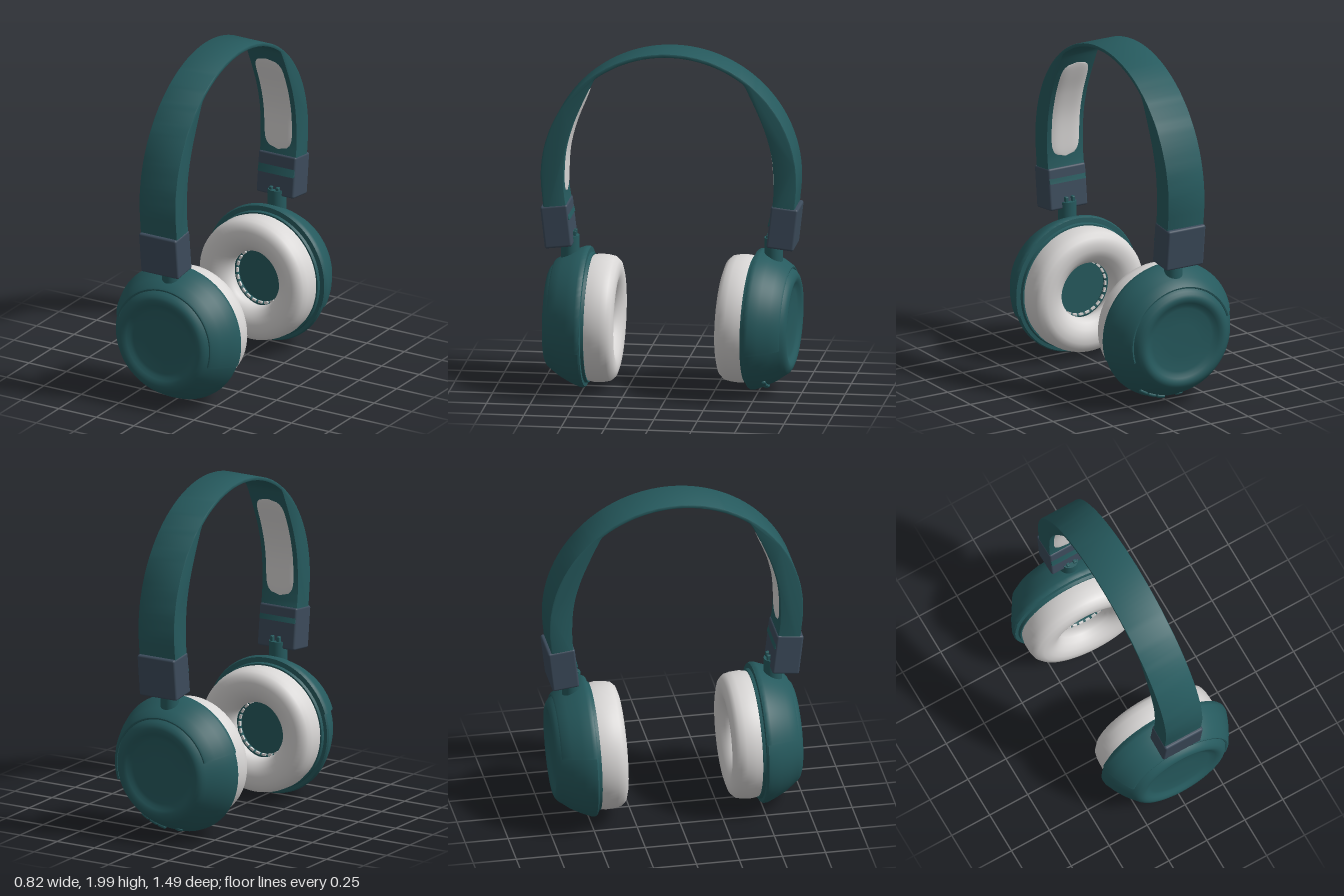
import * as THREE from 'three';
import { toCreasedNormals } from 'three/addons/utils/BufferGeometryUtils.js';
import { RoundedBoxGeometry } from 'three/addons/geometries/RoundedBoxGeometry.js';

const teal = new THREE.MeshStandardMaterial({ color: 0x265a5e });
teal.name = 'teal';
const slate = new THREE.MeshStandardMaterial({ color: 0x3c4b5b });
slate.name = 'slate';
const white = new THREE.MeshStandardMaterial({ color: 0xd9d7d6, side: THREE.DoubleSide });
white.name = 'softWhite';

function part(name, geometry, material, parent, x = 0, y = 0, z = 0) {
  const mesh = new THREE.Mesh(geometry, material);
  mesh.name = name;
  mesh.position.set(x, y, z);
  parent.add(mesh);
  return mesh;
}

// Lathe whose axis is z; points are [radius, z]
function turned(points, start = 0, length = Math.PI * 2, crease = 0.6) {
  const g = new THREE.LatheGeometry(points.map(p => new THREE.Vector2(...p)), 72, start, length);
  return toCreasedNormals(g.rotateX(Math.PI / 2), crease);
}

// Inner edge of the thick lower part of the band, as (z, y)
const inner = new THREE.SplineCurve([
  [0.57, 1.0], [0.598, 1.12], [0.605, 1.25], [0.595, 1.4], [0.56, 1.54], [0.508, 1.67], [0.445, 1.805],
].map(p => new THREE.Vector2(...p)));

function bandGeometry() {
  const pts = [];
  const low = inner.getPoints(28);
  const arc = (r, a0, a1, n) => {
    for (let i = 0; i <= n; i++) {
      const a = a0 + (a1 - a0) * i / n;
      pts.push(new THREE.Vector2(r * Math.cos(a), 1.257 + r * Math.sin(a)));
    }
  };
  pts.push(new THREE.Vector2(0.715, 1.0));
  arc(0.738, -0.1, Math.PI + 0.1, 72);
  pts.push(new THREE.Vector2(-0.715, 1.0));
  low.forEach(p => pts.push(new THREE.Vector2(-p.x, p.y)));
  arc(0.716, Math.PI - 0.93, 0.93, 40);
  low.reverse().forEach(p => pts.push(p.clone()));
  const g = new THREE.ExtrudeGeometry(new THREE.Shape(pts), {
    depth: 0.23, bevelEnabled: true, bevelSize: 0.006, bevelThickness: 0.006, bevelOffset: -0.006, bevelSegments: 2,
  });
  g.translate(0, 0, -0.115).rotateY(-Math.PI / 2);
  return toCreasedNormals(g, 0.6);
}

// Softly bulged pad with rounded ends, following the inner edge
function padGeometry(side) {
  const g = new THREE.PlaneGeometry(1, 1, 14, 40);
  const pos = g.attributes.position;
  for (let i = 0; i < pos.count; i++) {
    const u = 2 * pos.getX(i), v = 2 * pos.getY(i);
    const p = inner.getPointAt(0.18 + 0.75 * (v + 1) / 2);
    const halfWidth = 0.092 * Math.sqrt(Math.max(0, 1 - Math.pow(Math.abs(v), 10)));
    const lift = 0.002 + 0.01 * (1 - u ** 4) * (1 - v ** 8);
    pos.setXYZ(i, u * halfWidth, p.y, side * (p.x - lift));
  }
  if (side > 0) g.index.array.reverse();
  g.computeVertexNormals();
  return g;
}

// Ear cup facing +z, with its rim at z = 0
function earCup(name, shellStart) {
  const cup = new THREE.Group();
  cup.name = name;
  part('cupBody', turned([
    [0.16, -0.025], [0.37, -0.025], [0.375, -0.008], [0.395, -0.006], [0.402, 0.004], [0.4, 0.025],
    [0.377, 0.08], [0.345, 0.14], [0.308, 0.19], [0.296, 0.207], [0.28, 0.22], [0.262, 0.227],
    [0.245, 0.226], [0.228, 0.218], [0.21, 0.208], [0.19, 0.203], [0.1, 0.201], [0.0001, 0.2],
  ]), teal, cup);
  // Raised shell around the upper half
  part('upperShell', turned([
    [0.385, -0.008], [0.403, -0.006], [0.409, 0.004], [0.409, 0.025], [0.388, 0.08],
    [0.358, 0.14], [0.328, 0.188], [0.318, 0.196], [0.309, 0.194], [0.305, 0.185],
  ], shellStart, Math.PI), teal, cup);

  // Cushion ring, with a floor and teeth inside its opening
  part('cushion', turned([
    [0.195, -0.03], [0.178, -0.06], [0.165, -0.09], [0.167, -0.115], [0.185, -0.145], [0.22, -0.172],
    [0.26, -0.185], [0.3, -0.185], [0.335, -0.174], [0.357, -0.15], [0.365, -0.115], [0.368, -0.06], [0.36, -0.02],
  ], 0, Math.PI * 2, 1), white, cup);
  const floor = part('speakerFloor', new THREE.CircleGeometry(0.2, 48), teal, cup, 0, 0, -0.032);
  floor.rotation.y = Math.PI;
  const lip = part('speakerLip', new THREE.TorusGeometry(0.172, 0.012, 8, 48), teal, cup, 0, 0, -0.04);
  lip.scale.z = 1.4;
  const toothGeometry = new THREE.BoxGeometry(0.012, 0.026, 0.012);
  for (let i = 0; i < 24; i++) {
    const a = i / 24 * Math.PI * 2;
    const tooth = part('grilleTooth', toothGeometry, white, cup, 0.161 * Math.cos(a), 0.161 * Math.sin(a), -0.055);
    tooth.rotation.z = a;
  }
  return cup;
}

export function createModel() {
  const model = new THREE.Group();
  model.name = 'headphones';
  part('headband', bandGeometry(), teal, model, 0, 0.005, 0.003);

  for (const side of [1, -1]) {
    const front = side > 0;
    const label = front ? 'front' : 'back';
    const lift = front ? 0 : 0.025;
    part(label + 'BandPad', padGeometry(side), white, model, 0, 0.005, 0.003);

    const slider = part(label + 'Slider', new RoundedBoxGeometry(0.25, 0.248, 0.158, 3, 0.013), slate, model,
      0, front ? 0.963 : 0.994, side * 0.652);
    slider.rotation.x = side * 0.115;

    // Neck joining slider and cup
    part(label + 'Neck', new THREE.CylinderGeometry(0.053, 0.053, 0.14, 32), teal, model, 0, 0.82 + lift, side * 0.586);
    part(label + 'NeckFoot', new THREE.SphereGeometry(0.053, 32, 16), teal, model, 0, 0.755 + lift, side * 0.586);
    for (const x of [-0.022, 0.022]) {
      part(label + 'NeckClip', new RoundedBoxGeometry(0.02, 0.14, 0.03, 2, 0.005), teal, model,
        x, 0.85 + lift / 2, side * 0.562);
    }
  }

  const frontCup = earCup('frontEarCup', THREE.MathUtils.degToRad(72));
  frontCup.position.set(0, 0.407, 0.487);
  frontCup.rotation.x = -0.015;
  model.add(frontCup);

  const backCup = earCup('backEarCup', THREE.MathUtils.degToRad(108));
  backCup.position.set(-0.01, 0.425, -0.483);
  backCup.rotation.set(-0.035, Math.PI - 0.05, 0);
  model.add(backCup);

  // Small controls along the lower edge of the back cup
  const addControl = (name, geometry, angle) => {
    const pivot = new THREE.Group();
    pivot.name = name + 'Mount';
    pivot.rotation.z = angle;
    part(name, geometry, teal, pivot, 0, -0.372, 0.092).rotation.x = 1.05;
    backCup.add(pivot);
  };
  const key = new RoundedBoxGeometry(0.055, 0.026, 0.026, 3, 0.01);
  for (const angle of [-0.52, -0.36, -0.2]) addControl('controlKey', key, angle);
  addControl('socketRing', new THREE.TorusGeometry(0.016, 0.006, 10, 24), 0.12);
  return model;
}
